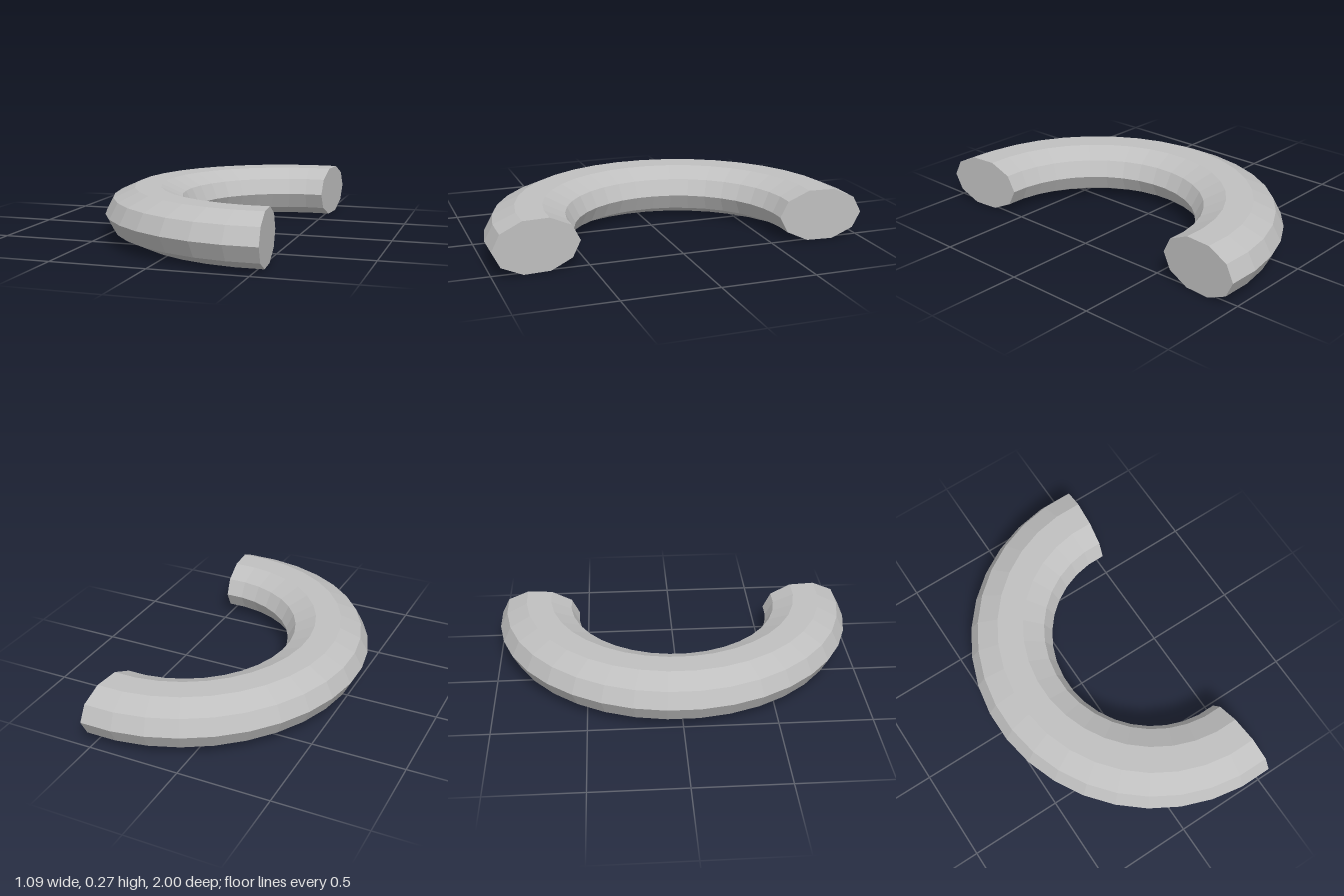
import * as THREE from 'three';

const RING_RADIUS = 0.7754;   // centre line of the bent bar
const HALF_WIDTH = 0.2284;    // radial half-size of the ten-sided section
const HALF_HEIGHT = 0.144;    // vertical half-size of the section
const SIDES = 10;
const SEGMENTS = 19;
const START = THREE.MathUtils.degToRad(85);
const SWEEP = THREE.MathUtils.degToRad(190);
const CENTRE_X = 0.456;
const CENTRE_Y = 0.137;

export function createModel() {
  const grey = new THREE.MeshStandardMaterial({ color: 0xbfbfbf, flatShading: true });
  grey.name = 'lightGrey';

  const model = new THREE.Group();
  model.name = 'halfRing';
  const add = (name, geometry) => {
    geometry.translate(CENTRE_X, CENTRE_Y, 0);
    const mesh = new THREE.Mesh(geometry, grey);
    mesh.name = name;
    model.add(mesh);
  };

  // Bent bar: a flattened partial torus lying on the ground, open towards +x
  const bar = new THREE.TorusGeometry(RING_RADIUS, HALF_WIDTH, SIDES, SEGMENTS, SWEEP);
  bar.scale(1, 1, HALF_HEIGHT / HALF_WIDTH);
  bar.rotateZ(START);
  bar.rotateX(-Math.PI / 2);
  add('bentBar', bar);

  // Flat caps closing the two cut ends
  const addCap = (name, angle, turn) => {
    const cap = new THREE.CircleGeometry(HALF_WIDTH, SIDES);
    cap.scale(1, HALF_HEIGHT / HALF_WIDTH, 1);
    cap.rotateY(turn);
    cap.translate(RING_RADIUS, 0, 0);
    cap.rotateY(angle);
    add(name, cap);
  };
  addCap('backEndCap', START, 0);
  addCap('frontEndCap', START + SWEEP, Math.PI);

  return model;
}
